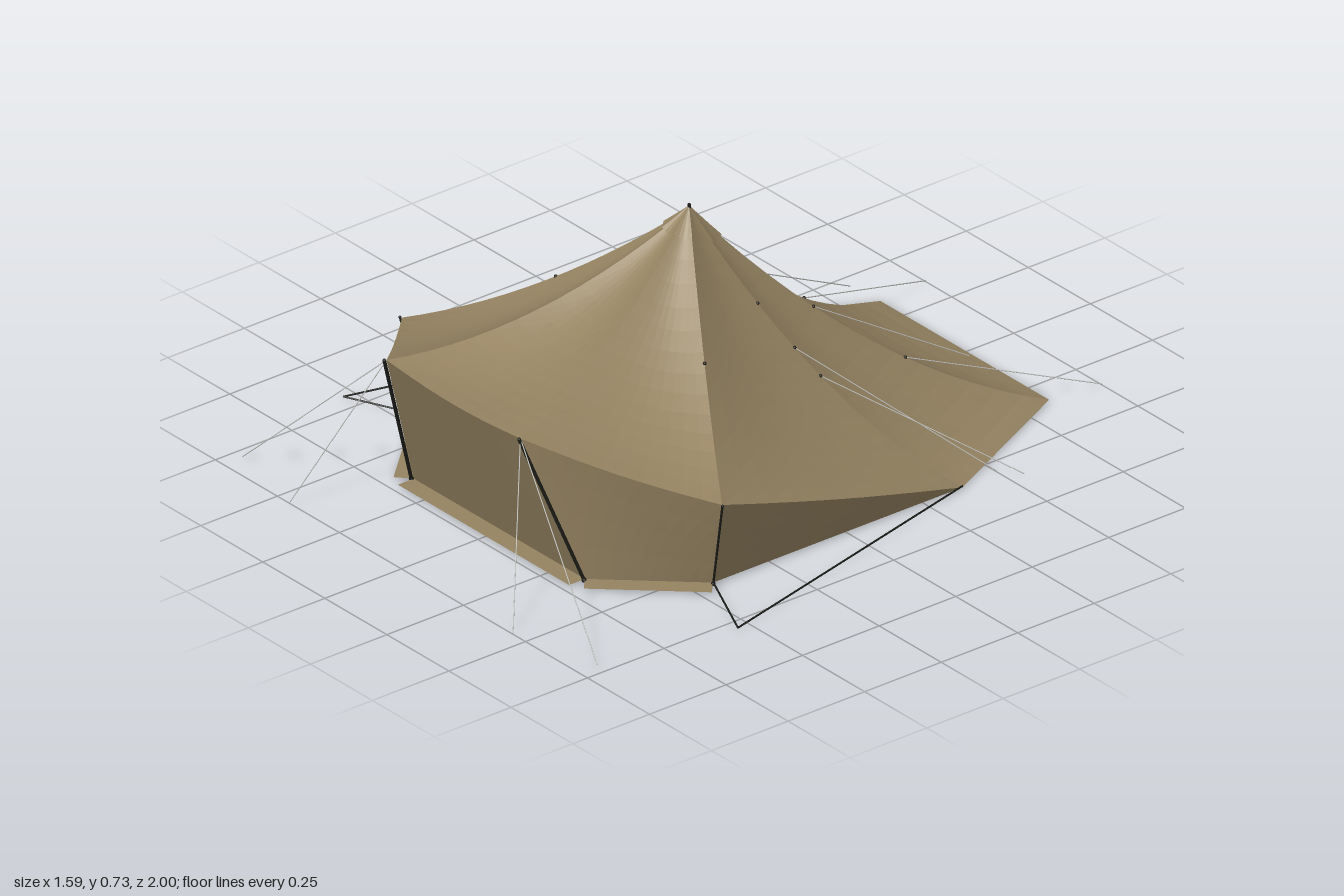
import * as THREE from 'three';

const V = (x, y, z) => new THREE.Vector3(x, y, z);
const APEX = V(0, 0.72, 0.06);

// Rib ends around the tent: position, rib sag, eave droop of the panel that follows
const CORNERS = [
  { p: V(-0.27, 0.43, 0.83), sag: 0.29, droop: 0.015 },
  { p: V(0.27, 0.43, 0.83), sag: 0.29, droop: 0.012 },
  { p: V(0.645, 0.275, 0.475), sag: 0.2, droop: 0.008 },
  { p: V(0.565, 0.004, -0.375), sag: 0.39, droop: 0 },
  { p: V(0.34, 0.004, -0.84), sag: 0.41, droop: 0 },
  { p: V(-0.34, 0.004, -0.84), sag: 0.41, droop: 0 },
  { p: V(-0.565, 0.004, -0.375), sag: 0.39, droop: 0.008 },
  { p: V(-0.645, 0.275, 0.475), sag: 0.2, droop: 0.012 },
];

// Point on a hanging rib, t = 0 at the peak and 1 at the eave
function ribPoint(c, t) {
  const q = APEX.clone().lerp(c.p, t);
  q.y -= c.sag * t * (1 - t);
  return q;
}

// Point on the canvas between two neighbouring ribs
function panelPoint(i, u, t) {
  const a = CORNERS[i], b = CORNERS[(i + 1) % 8];
  const q = ribPoint(a, t).lerp(ribPoint(b, t), u);
  q.y -= Math.sin(Math.PI * u) * (a.droop * t + 0.07 * t * (1 - t));
  return q;
}

// Faceted sheet from a rule (u, v) => point
function sheet(fn, nu, nv) {
  const pos = [], idx = [];
  for (let j = 0; j <= nv; j++)
    for (let i = 0; i <= nu; i++) pos.push(...fn(i / nu, j / nv).toArray());
  for (let j = 0; j < nv; j++)
    for (let i = 0; i < nu; i++) {
      const a = j * (nu + 1) + i, b = a + nu + 1;
      idx.push(a, b, a + 1, a + 1, b, b + 1);
    }
  let g = new THREE.BufferGeometry();
  g.setAttribute('position', new THREE.Float32BufferAttribute(pos, 3));
  g.setIndex(idx);
  g = g.toNonIndexed();
  g.computeVertexNormals();
  return g;
}

export function createModel() {
  const root = new THREE.Group();
  root.name = 'tent';
  const mat = (name, color) => {
    const m = new THREE.MeshStandardMaterial({ color });
    m.name = name;
    return m;
  };
  const canvas = mat('canvas', 0x968462);
  canvas.side = THREE.DoubleSide;
  const black = mat('black metal', 0x1c1c18);
  const ropeMat = mat('light grey rope', 0xc4c4c0);

  const add = (name, geo, m) => {
    const mesh = new THREE.Mesh(geo, m);
    mesh.name = name;
    root.add(mesh);
    return mesh;
  };
  const rod = (name, a, b, r, m, sides = 8) => {
    const mesh = add(name, new THREE.CylinderGeometry(r, r, a.distanceTo(b), sides), m);
    mesh.position.copy(a).lerp(b, 0.5);
    mesh.quaternion.setFromUnitVectors(V(0, 1, 0), b.clone().sub(a).normalize());
  };
  const ball = (name, p, r, m) => add(name, new THREE.SphereGeometry(r, 8, 6), m).position.copy(p);

  // Roof panels and the peak cap over them
  CORNERS.forEach((c, i) => {
    add('roofPanel', sheet((u, v) => panelPoint(i, u, v), 10, 14), canvas);
    add('peakCap', sheet((u, v) => panelPoint(i, u, v * 0.09).add(V(0, 0.008, 0)), 4, 3), canvas);
  });

  // Walls hang from the eaves: [panel index, ground start, ground end]
  const F = V(0.345, 0.006, 0.68), S = V(0.565, 0.006, 0.44), B = CORNERS[3].p;
  const flip = (p) => V(-p.x, p.y, p.z);
  const walls = [
    ['frontWall', 0, flip(F), F],
    ['leftFrontWall', 1, F, S],
    ['leftSideWall', 2, S, B],
    ['rightSideWall', 6, flip(B), flip(S)],
    ['rightFrontWall', 7, flip(S), flip(F)],
  ];
  for (const [name, i, a, b] of walls) {
    add(name, sheet((u, v) => panelPoint(i, u, 1).lerp(a.clone().lerp(b, u), v), 10, 4), canvas);
    if (!name.includes('ront')) continue;
    // Ground flap along the foot of the front walls
    const out = V(a.z - b.z, 0, b.x - a.x).normalize().multiplyScalar(0.052);
    add('groundFlap', sheet((u, v) => a.clone().lerp(b, u).addScaledVector(out, v), 1, 1), canvas);
  }

  // Centre pole and tip
  rod('centrePole', V(0, 0, 0.06), V(0, 0.732, 0.06), 0.0045, black);

  // Poles, feet, ground straps and guy ropes, mirrored left and right
  const outward = (p) => p.clone().add(V(p.x, 0, p.z - APEX.z).setLength(0.006));
  for (const s of [1, -1]) {
    const m = (p) => V(p.x * s, p.y, p.z);
    const front = m(outward(CORNERS[1].p)), side = m(outward(CORNERS[2].p));
    const frontFoot = m(outward(F)), sideFoot = m(outward(S));
    rod('frontPole', front, frontFoot, 0.0048, black);
    rod('sidePole', side, sideFoot, 0.003, black);
    ball('poleTip', front, 0.005, black);
    ball('poleTip', side, 0.004, black);
    ball('poleFoot', frontFoot, 0.007, black);
    ball('poleFoot', sideFoot, 0.006, black);

    const peg = m(V(0.795, 0.008, 0.545));
    rod('groundStrap', m(V(0.565, 0.008, -0.375)), peg, 0.0025, black, 6);
    rod('groundStrap', m(V(0.565, 0.008, 0.44)), peg, 0.0025, black, 6);

    const ropes = [
      [CORNERS[1].p, V(0.45, 0.002, 1.0)],
      [CORNERS[1].p, V(0.715, 0.002, 0.94)],
      [ribPoint(CORNERS[4], 0.6), V(0.355, 0.002, -1.0)],
      [ribPoint(CORNERS[4], 0.345), V(0.24, 0.15, -0.66)],
      [ribPoint(CORNERS[3], 0.48), V(0.605, 0.002, -0.545)],
      [ribPoint(CORNERS[3], 0.385), V(0.55, 0.002, -0.5)],
    ];
    for (const [a, b] of ropes) rod('guyRope', m(a), m(b), 0.0014, ropeMat, 6);

    // Rope toggles on the ribs
    for (const [k, t] of [[2, 0.465], [3, 0.25], [3, 0.385], [3, 0.48], [4, 0.345], [4, 0.6]])
      ball('ropeToggle', m(ribPoint(CORNERS[k], t)), 0.005, black);
  }
  return root;
}
